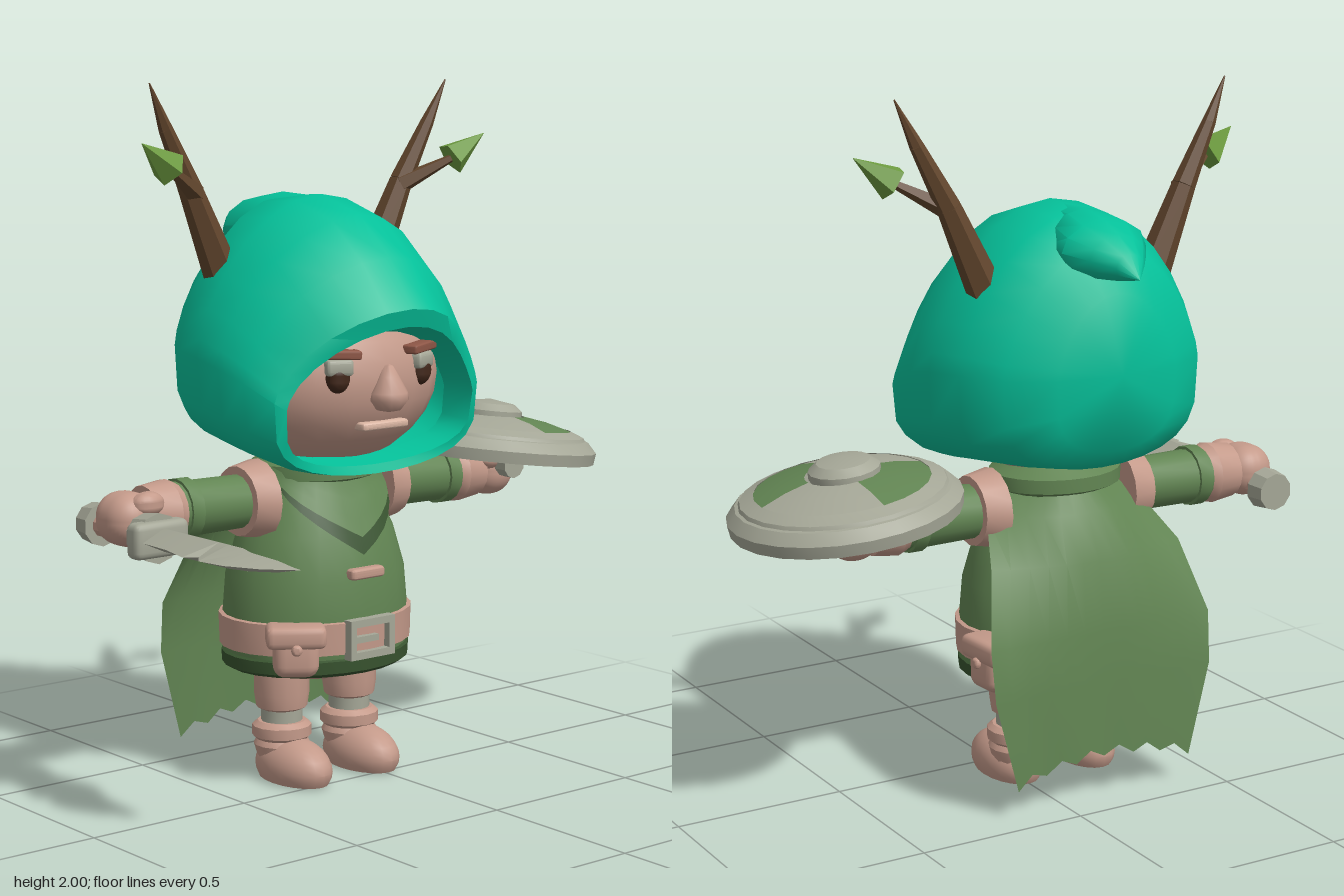
import * as THREE from 'three';
import { toCreasedNormals } from 'three/addons/utils/BufferGeometryUtils.js';
import { RoundedBoxGeometry } from 'three/addons/geometries/RoundedBoxGeometry.js';

const mat = (name, color, side = THREE.FrontSide) => {
  const m = new THREE.MeshStandardMaterial({ color, side });
  m.name = name;
  return m;
};
const teal = mat('hood teal', 0x05c19a, THREE.DoubleSide);
const green = mat('cloth green', 0x628553, THREE.DoubleSide);
const darkGreen = mat('trim green', 0x38532f, THREE.DoubleSide);
const skin = mat('skin and leather', 0xc49a8a);
const steel = mat('steel', 0xa5a797, THREE.DoubleSide);
const bark = mat('bark', 0x62462d);
const leafGreen = mat('leaf', 0x6d9b40);
const eyeBrown = mat('eye brown', 0x42281b);
const browRed = mat('brow', 0x8d5646);
const lip = mat('lip', 0xdab5a2);

const Z = -0.155; // depth of the body axis
const V = (x, y, z) => new THREE.Vector3(x, y, z);

function add(parent, name, geo, material, pos = [0, 0, 0], crease = 0.6) {
  const mesh = new THREE.Mesh(toCreasedNormals(geo, crease), material);
  mesh.name = name;
  mesh.position.set(...pos);
  parent.add(mesh);
  return mesh;
}
// Surface through successive rows of points
function loft(rows) {
  const n = rows[0].length, index = [];
  for (let i = 0; i < rows.length - 1; i++) for (let j = 0; j < n - 1; j++) {
    const a = i * n + j, c = a + n;
    index.push(a, a + 1, c, a + 1, c + 1, c);
  }
  const g = new THREE.BufferGeometry().setFromPoints(rows.flat());
  g.setIndex(index);
  g.computeVertexNormals();
  return g;
}
// Tapered cylinder between two points
function limb(p, q, r0, r1, seg = 14) {
  const d = q.clone().sub(p), g = new THREE.CylinderGeometry(r1, r0, d.length(), seg);
  g.applyQuaternion(new THREE.Quaternion().setFromUnitVectors(V(0, 1, 0), d.clone().normalize()));
  return g.translate(...p.clone().add(q).multiplyScalar(0.5).toArray());
}
const lathe = (pts, seg = 20, start = 0, len = Math.PI * 2) =>
  new THREE.LatheGeometry(pts.map(p => new THREE.Vector2(...p)), seg, start, len);
const range = (n, f) => Array.from({ length: n + 1 }, (_, i) => f(i / n, i));
const ball = (x, y, z) => new THREE.SphereGeometry(1, 20, 14).scale(x, y, z);

const TORSO = [[0, 0.35], [0.265, 0.33], [0.28, 0.38], [0.285, 0.48], [0.275, 0.6], [0.24, 0.72], [0.19, 0.82], [0.15, 0.88], [0.13, 0.96]];
function torsoRadius(y) {
  for (let i = 2; i < TORSO.length; i++) {
    const [r0, y0] = TORSO[i - 1], [r1, y1] = TORSO[i];
    if (y <= y1) return r0 + (r1 - r0) * (y - y0) / (y1 - y0);
  }
  return 0.13;
}

function buildHood(g) {
  // top y, top z, half width, middle y, side z, bottom y, bottom z
  const rows = [
    [1.31, 0.12, 0.34, 1.12, 0.02, 0.95, 0.02],
    [1.335, 0.265, 0.335, 1.12, 0.15, 0.935, 0.11],
    [1.385, 0.28, 0.365, 1.14, 0.135, 0.91, 0.12],
    [1.52, 0.18, 0.4, 1.19, 0.04, 0.905, 0.06],
    [1.63, 0.05, 0.412, 1.22, -0.06, 0.915, -0.02],
    [1.68, -0.12, 0.41, 1.24, -0.16, 0.93, -0.12],
    [1.67, -0.28, 0.385, 1.25, -0.28, 0.95, -0.28],
    [1.595, -0.4, 0.315, 1.25, -0.4, 0.97, -0.4],
    [1.47, -0.475, 0.19, 1.25, -0.475, 1.03, -0.465],
    [1.25, -0.505, 0, 1.25, -0.505, 1.25, -0.505],
  ].map(([ty, tz, w, my, sz, by, bz]) => range(28, t => {
    const a = t * Math.PI * 2, c = Math.cos(a), k = Math.abs(c);
    return c > 0
      ? V(w * Math.sin(a), my + (ty - my) * k ** 1.4, sz + (tz - sz) * k ** 2.8)
      : V(w * Math.sin(a), my + (by - my) * k ** 0.5, sz + (bz - sz) * k);
  }));
  add(g, 'hood', loft(rows), teal, [0, 0, 0], 0.8);
  // drooping point at the back: z, top y, half width, bottom y
  const tail = [[-0.18, 1.675, 0.05, 1.5], [-0.3, 1.679, 0.11, 1.5], [-0.4, 1.662, 0.135, 1.5], [-0.47, 1.63, 0.09, 1.505], [-0.53, 1.588, 0.045, 1.515], [-0.578, 1.525, 0, 1.525]]
    .map(([z, t, w, b]) => range(12, u => V(w * Math.sin(u * 2 * Math.PI), (t + b) / 2 + (t - b) / 2 * Math.cos(u * 2 * Math.PI), z)));
  add(g, 'hoodPoint', loft(tail), teal, [0, 0, 0], 0.9);
}

function buildFace(g) {
  add(g, 'head', ball(0.35, 0.26, 0.295), skin, [0, 1.17, -0.12]);
  add(g, 'nose', lathe([[0, -0.065], [0.035, -0.058], [0.058, -0.03], [0.055, -0.01], [0.03, 0.035], [0.012, 0.065], [0, 0.07]], 12).scale(1, 1, 0.95), skin, [0, 1.155, 0.178], 1.2);
  add(g, 'mouth', new RoundedBoxGeometry(0.165, 0.024, 0.05, 2, 0.01), lip, [0, 1.052, 0.145]);
  for (const s of [-1, 1]) {
    add(g, 'eye', ball(0.037, 0.042, 0.03), eyeBrown, [s * 0.147, 1.192, 0.135]);
    add(g, 'eyelid', new RoundedBoxGeometry(0.078, 0.045, 0.05, 2, 0.01), steel, [s * 0.147, 1.222, 0.137]).rotation.y = s * 0.35;
    add(g, 'brow', new RoundedBoxGeometry(0.13, 0.026, 0.05, 2, 0.008), browRed, [s * 0.147, 1.258, 0.135]).rotation.set(0, s * 0.4, s * 0.04);
  }
}

function buildBody(g) {
  const band = (name, pts, m) => add(g, name, lathe(pts, 24).scale(1, 1, 0.84), m, [0, 0, Z]);
  band('tunic', TORSO, green);
  band('hem', [[0.266, 0.328], [0.287, 0.34], [0.289, 0.375], [0.278, 0.38]], darkGreen);
  band('belt', [[0.27, 0.39], [0.294, 0.395], [0.297, 0.485], [0.27, 0.49]], skin);
  band('neckCollar', [[0.16, 0.865], [0.195, 0.88], [0.195, 0.92], [0.14, 0.95]], green);
  add(g, 'hips', ball(0.24, 0.09, 0.2), skin, [0, 0.37, Z]);
  // V shaped cowl wrapped around the chest
  const bib = (depth, off) => loft([0, 0.25, 0.5, 0.75, 1].map(v => range(16, t => {
    const u = 1 - 2 * t, y = 0.92 - v * depth * (1 - Math.abs(u)), r = torsoRadius(y) + off + 0.04 * Math.abs(u), a = u * 1.5;
    return V(r * Math.sin(a), y, Z + r * Math.cos(a) * 0.84);
  })));
  add(g, 'cowlTrim', bib(0.25, 0.012), darkGreen);
  add(g, 'cowl', bib(0.2, 0.02), green);
  add(g, 'toggle', new RoundedBoxGeometry(0.12, 0.032, 0.04, 2, 0.012), skin, [0, 0.62, 0.075]);
  // buckle
  const frame = new THREE.Shape([[-0.08, -0.057], [0.08, -0.057], [0.08, 0.057], [-0.08, 0.057]].map(p => new THREE.Vector2(...p)));
  frame.holes.push(new THREE.Path([[-0.06, -0.036], [-0.06, 0.036], [0.06, 0.036], [0.06, -0.036]].map(p => new THREE.Vector2(...p))));
  add(g, 'buckle', new THREE.ExtrudeGeometry(frame, { depth: 0.03, bevelEnabled: false }), steel, [0, 0.437, 0.08]);
  add(g, 'bucklePin', new THREE.BoxGeometry(0.08, 0.018, 0.02), steel, [-0.02, 0.437, 0.1]);
  // pouches: x, z, turn
  for (const [x, z, turn] of [[-0.212, 0.025, -0.6], [0.285, -0.29, 1.65]]) {
    const p = new THREE.Group();
    p.name = 'pouch';
    p.position.set(x, 0.42, z);
    p.rotation.y = turn;
    add(p, 'pouchBag', new RoundedBoxGeometry(0.13, 0.125, 0.09, 3, 0.035), skin, [0, -0.015, 0]);
    add(p, 'pouchFlap', new RoundedBoxGeometry(0.17, 0.065, 0.11, 2, 0.02), skin, [0, 0.04, 0]);
    add(p, 'pouchButton', ball(0.016, 0.016, 0.012), skin, [0, 0.008, 0.054]);
    g.add(p);
  }
  // cape: y, half width, z, forward curl of the sides
  const cape = [[0.9, 0.15, -0.28, 0.15], [0.82, 0.25, -0.335, 0.14], [0.7, 0.31, -0.395, 0.07], [0.5, 0.36, -0.422, 0.012], [0.35, 0.355, -0.428, 0], [0.14, 0.285, -0.433, 0]]
    .map(([y, w, z, curl], i) => range(12, (t, j) => {
      const u = 1 - 2 * t, hem = i === 5 ? (j % 2 ? 0.018 : -0.008) - 0.05 * u * u : 0;
      return V(-u * w, y + hem, z + curl * u * u + 0.003 * Math.cos(u * 9));
    }));
  add(g, 'cape', loft(cape), green);
}

function buildLimbs(g, s) {
  const y = 0.825, tube = (name, x0, x1, r0, r1, m) => add(g, name, limb(V(s * x0, y, Z), V(s * x1, y, Z), r0, r1, 16), m);
  // arm
  tube('shoulderRing', 0.205, 0.28, 0.115, 0.1, skin);
  tube('sleeve', 0.26, 0.5, 0.077, 0.08, green);
  tube('sleeveCuff', 0.45, 0.49, 0.088, 0.088, green);
  tube('gloveCuff', 0.5, 0.525, 0.08, 0.09, skin);
  tube('glove', 0.525, 0.6, 0.09, 0.08, skin);
  add(g, 'fist', new RoundedBoxGeometry(0.15, 0.15, 0.17, 5, 0.07), skin, [s * 0.655, 0.82, Z], 1);
  add(g, 'thumb', ball(0.05, 0.035, 0.035), skin, [s * 0.625, 0.865, Z + 0.06]);
  // leg
  const x = s * 0.125;
  add(g, 'leg', lathe([[0.055, 0.2], [0.074, 0.21], [0.08, 0.25], [0.08, 0.36]], 14), skin, [x, 0, Z]);
  add(g, 'sock', new THREE.CylinderGeometry(0.06, 0.06, 0.09, 14), steel, [x, 0.185, Z]);
  add(g, 'bootCuff', lathe([[0.07, 0.06], [0.082, 0.1], [0.074, 0.115], [0.086, 0.125], [0.086, 0.155], [0.07, 0.168], [0, 0.168]], 14), skin, [x, 0, Z]);
  const foot = ball(0.086, 0.085, 0.145), p = foot.attributes.position;
  for (let i = 0; i < p.count; i++) p.setY(i, Math.max(0, p.getY(i) + 0.04));
  add(g, 'boot', foot, skin, [x, 0, -0.1]);
}

function buildAntler(g, s) {
  const base = V(s * 0.27, 1.46, -0.23), mid = V(s * 0.38, 1.7, -0.222), top = V(s * 0.47, 1.87, -0.21), tip = V(s * 0.53, 1.995, -0.198);
  add(g, 'antlerBase', limb(base, mid, 0.052, 0.034, 6), bark, [0, 0, 0], 0.01);
  add(g, 'antlerMiddle', limb(mid, top, 0.034, 0.02, 6), bark, [0, 0, 0], 0.01);
  add(g, 'antlerTip', limb(top, tip, 0.02, 0.002, 6), bark, [0, 0, 0], 0.01);
  const leafBase = V(s * 0.505, 1.765, -0.142);
  add(g, 'twig', limb(V(s * 0.37, 1.69, -0.215), leafBase, 0.03, 0.012, 5), bark, [0, 0, 0], 0.01);
  add(g, 'leaf', limb(leafBase, V(s * 0.612, 1.837, -0.118), 0.052, 0.001, 5), leafGreen, [0, 0, 0], 0.01);
}

function buildShield(g) {
  const shield = new THREE.Group();
  shield.name = 'shield';
  shield.position.set(0.665, 0.9, Z + 0.01);
  shield.rotation.z = -0.13;
  add(shield, 'shieldRim', lathe([[0, 0.02], [0.29, -0.02], [0.322, -0.035], [0.327, 0], [0.3, 0.03], [0.29, 0.032], [0.285, 0.042], [0.245, 0.058]], 24), steel, [0, 0, 0], 0.4);
  for (let q = 0; q < 4; q++)
    add(shield, 'shieldQuarter', lathe([[0.247, 0.048], [0.245, 0.056], [0.17, 0.077], [0.1, 0.088]], 6, q * Math.PI / 2, Math.PI / 2), q % 2 ? steel : green);
  add(shield, 'shieldBoss', lathe([[0.1, 0.08], [0.1, 0.102], [0.075, 0.122], [0, 0.134]], 16), steel, [-0.012, 0, 0], 0.4);
  g.add(shield);
  add(g, 'shieldGrip', limb(V(0.665, 0.845, -0.27), V(0.665, 0.845, -0.03), 0.04, 0.04, 10), steel);
}

function buildSword(g) {
  const sword = new THREE.Group();
  sword.name = 'sword';
  sword.position.set(-0.655, 0.787, 0);
  const edge = [[-0.06, -0.01], [-0.07, 0.03], [-0.075, 0.14], [-0.099, 0.246], [-0.065, 0.274], [-0.097, 0.316], [-0.083, 0.405], [-0.035, 0.5],
    [0.038, 0.572], [0.052, 0.395], [0.095, 0.25], [0.061, 0.03], [0.05, -0.01], [-0.06, -0.01]];
  const ridge = h => edge.map(([, z]) => V(z > 0.4 ? (z - 0.4) * 0.2 : 0, h * Math.min(1, Math.max(0, 0.572 - z) / 0.25) ** 0.6, z));
  add(sword, 'blade', loft([ridge(0.032), edge.map(([x, z]) => V(x, 0, z)), ridge(-0.032)]), steel, [0, 0, 0], 0.3);
  add(sword, 'guard', new RoundedBoxGeometry(0.175, 0.1, 0.06, 2, 0.02), steel, [0, 0, -0.005]);
  add(sword, 'guardCollar', limb(V(0, 0, -0.07), V(0, 0, 0), 0.06, 0.07, 10), steel);
  add(sword, 'grip', limb(V(0, 0, -0.3), V(0, 0, -0.03), 0.035, 0.035, 10), skin);
  add(sword, 'pommel', limb(V(0, 0, -0.325), V(0, 0, -0.268), 0.055, 0.062, 10), steel);
  g.add(sword);
}

export function createModel() {
  const root = new THREE.Group(), g = new THREE.Group();
  root.name = 'hoodedWarrior';
  g.name = 'figure';
  g.position.x = -0.122;
  root.add(g);
  buildHood(g);
  buildFace(g);
  buildBody(g);
  for (const s of [-1, 1]) {
    buildLimbs(g, s);
    buildAntler(g, s);
  }
  buildShield(g);
  buildSword(g);
  return root;
}
